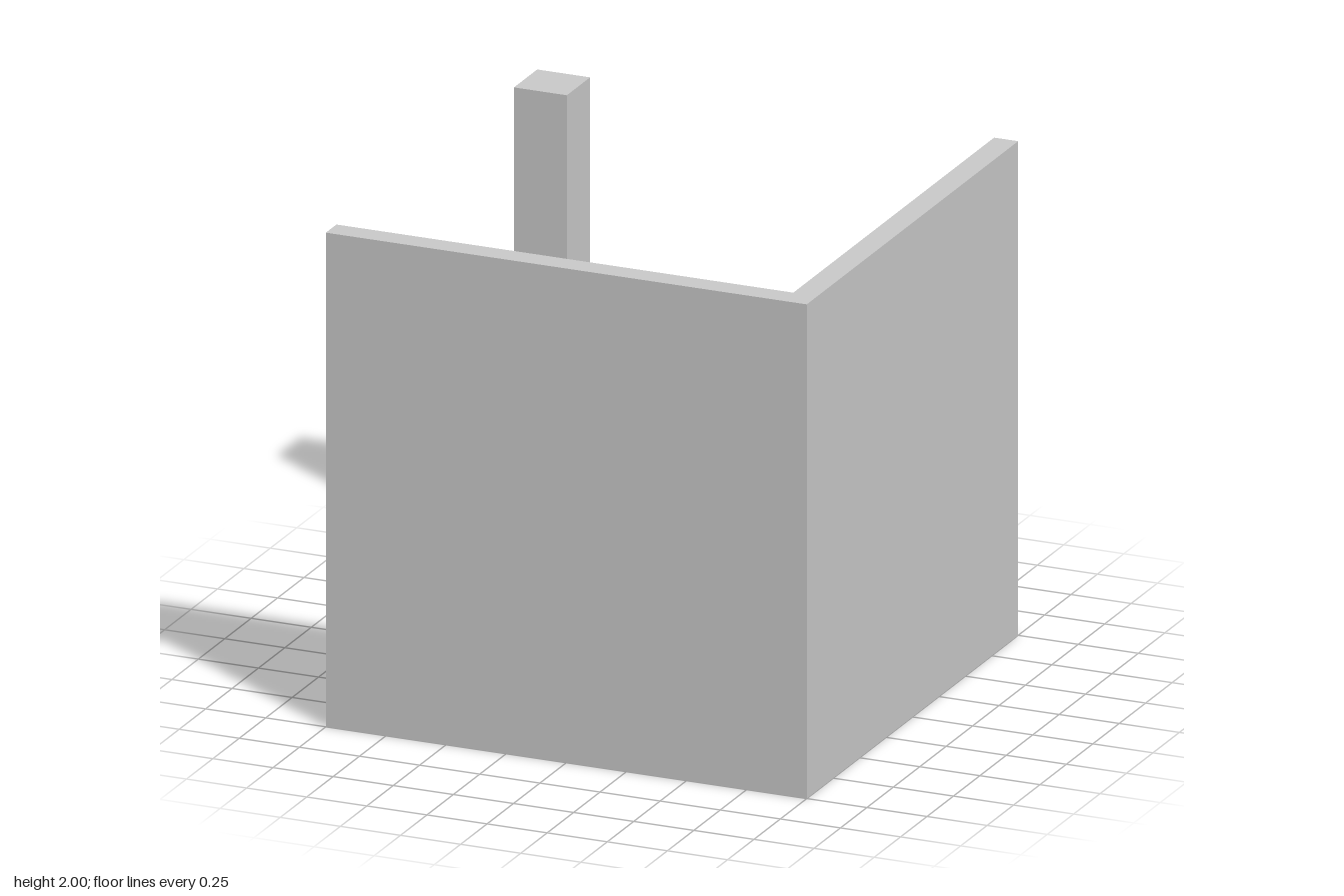
import * as THREE from 'three';

const material = new THREE.MeshStandardMaterial({ color: 0xcccccc, flatShading: true });

const CURB = 0.105; // height of the raised border
const FLOOR = 0.035; // height of the floor

export function createModel() {
  const group = new THREE.Group();

  function add(name, geometry) {
    const mesh = new THREE.Mesh(geometry, material);
    mesh.name = name;
    group.add(mesh);
  }

  // Box given by its lower and upper corners
  function box(name, x0, y0, z0, x1, y1, z1) {
    const geometry = new THREE.BoxGeometry(x1 - x0, y1 - y0, z1 - z0);
    geometry.translate((x0 + x1) / 2, (y0 + y1) / 2, (z0 + z1) / 2);
    add(name, geometry);
  }

  // Profile of [distance from centre, height], swept along one side from -1 to end
  function sweep(name, points, end, alongX) {
    const shape = new THREE.Shape(points.map(([d, y]) => new THREE.Vector2(d, y)));
    const geometry = new THREE.ExtrudeGeometry(shape, { depth: end + 1, bevelEnabled: false });
    if (alongX) geometry.translate(0, 0, -end).rotateY(-Math.PI / 2);
    else geometry.translate(0, 0, -1);
    add(name, geometry);
  }

  // Wall with a narrow groove and a sloped-top baseboard
  const wall = [
    [1, CURB], [1, 2], [0.9, 2], [0.9, 1.6], [0.908, 1.6], [0.908, 1.575],
    [0.9, 1.575], [0.9, 0.39], [0.87, 0.365], [0.87, CURB],
  ];
  // Border with an undercut riser
  const curb = [[1, 0], [1, CURB], [0.49, CURB], [0.52, FLOOR], [0.52, 0]];
  const skirt = [[0.95, 0], [1, 0], [1, CURB], [0.95, CURB]];

  for (const [side, alongX] of [['left', false], ['front', true]]) {
    sweep(side + 'Wall', wall, 1, alongX);
    sweep(side + 'Curb', curb, 0.52, alongX);
    sweep(side + 'WallFoot', skirt, 1, alongX);
  }

  // Corner of the border, with a sloping recess underneath
  const wedge = new THREE.Shape([
    new THREE.Vector2(-0.52, CURB), new THREE.Vector2(-0.95, CURB),
    new THREE.Vector2(-0.95, 0), new THREE.Vector2(-0.52, 0.1),
  ]);
  const corner = new THREE.ExtrudeGeometry(wedge, { depth: 0.43, bevelEnabled: false });
  corner.rotateY(Math.PI / 2).translate(0.52, 0, 0);
  add('cornerCurb', corner);

  box('floor', -1, 0, -1, 0.52, FLOOR, 0.52);
  box('pillar', -1, 0, -1, -0.78, 2, -0.78);

  // Paving slabs on the border
  const top = CURB + 0.02;
  for (let i = 0; i < 6; i++) {
    const start = -0.995 + 0.25 * i;
    const inner = i % 2 ? 0.49 : 0.497;
    box('leftSlab', inner, CURB, start, 0.87, top, i === 5 ? 0.465 : start + 0.232);
    box('frontSlab', start, CURB, 0.495, i === 5 ? 0.487 : start + 0.235, top, 0.87);
  }
  box('cornerSlab', 0.5, CURB, 0.49, 0.855, top, 0.87);

  return group;
}
